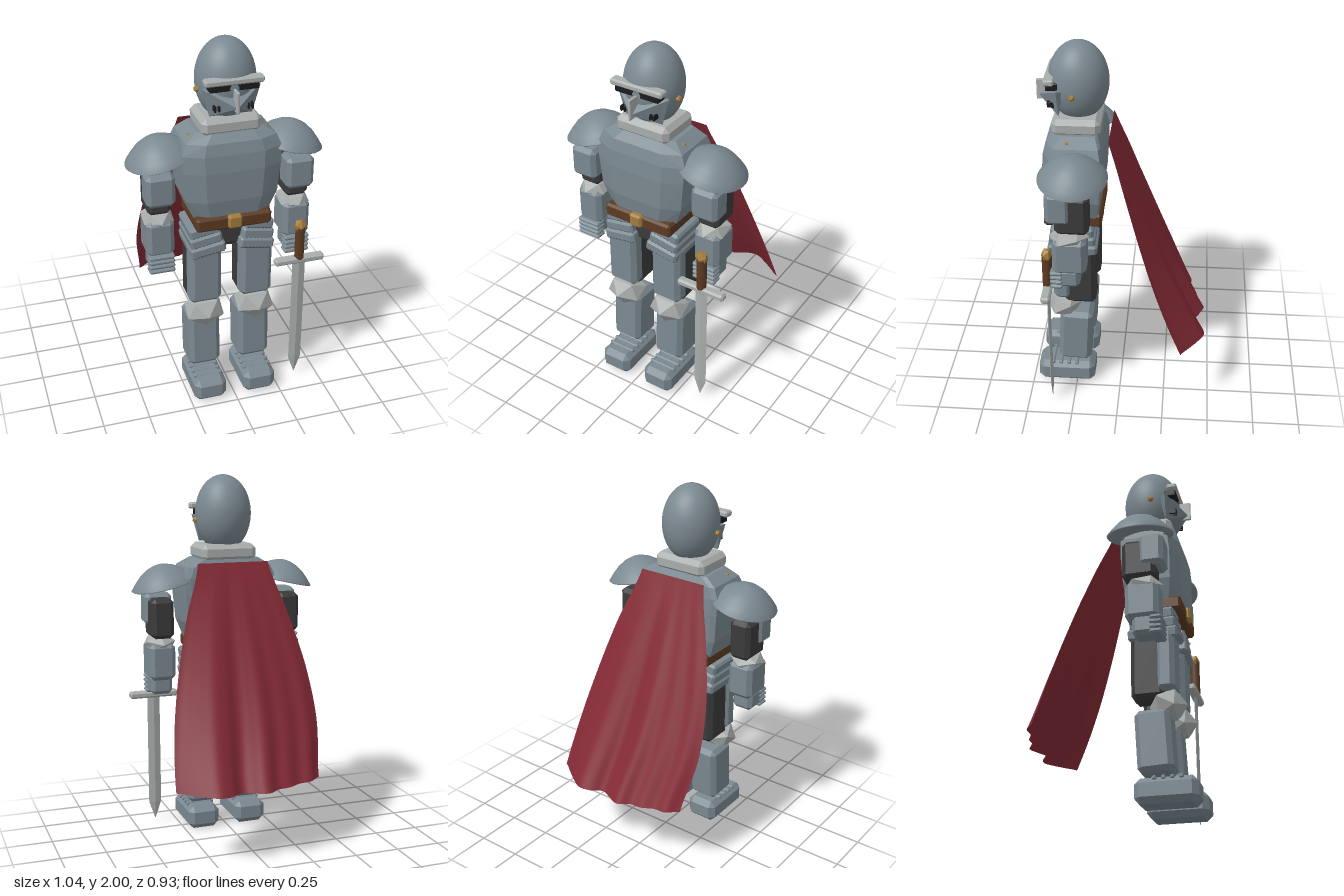
import * as THREE from 'three';
import { ConvexGeometry } from 'three/addons/geometries/ConvexGeometry.js';

const V = (x, y, z) => new THREE.Vector3(x, y, z);

// Box with 45 degree chamfers of size c on every edge
function chamferBox(w, h, d, c) {
  const pts = [];
  for (const x of [-1, 1]) for (const y of [-1, 1]) for (const z of [-1, 1]) {
    pts.push(V(x * w / 2, y * (h / 2 - c), z * (d / 2 - c)));
    pts.push(V(x * (w / 2 - c), y * h / 2, z * (d / 2 - c)));
    pts.push(V(x * (w / 2 - c), y * (h / 2 - c), z * d / 2));
  }
  return new ConvexGeometry(pts);
}

export function createModel() {
  const mat = (name, color, extra = {}) => {
    const m = new THREE.MeshStandardMaterial({ color, ...extra });
    m.name = name;
    return m;
  };
  const steel = mat('steel', 0x7b8991, { side: THREE.DoubleSide });
  const bright = mat('brightSteel', 0xa9aeac);
  const dark = mat('darkCloth', 0x3b3b3b);
  const black = mat('black', 0x1b1b1d);
  const red = mat('capeRed', 0x842a35, { side: THREE.DoubleSide });
  const leather = mat('leather', 0x5c3b22);
  const gold = mat('brass', 0xa37c3c);

  const model = new THREE.Group();
  model.name = 'knight';

  const add = (name, geo, material, x = 0, y = 0, z = 0, parent = model) => {
    const m = new THREE.Mesh(geo, material);
    m.name = name;
    m.position.set(x, y, z);
    parent.add(m);
    return m;
  };
  // Chamfered box given by its extents
  const block = (name, material, [x0, x1], [y0, y1], [z0, z1], c = 0.02, parent = model) =>
    add(name, chamferBox(x1 - x0, y1 - y0, z1 - z0, c), material,
      (x0 + x1) / 2, (y0 + y1) / 2, (z0 + z1) / 2, parent);
  // Faceted ball with one corner pointing forward
  const facetBall = (name, material, x, y, z, rx, ry, rz, parent = model) => {
    const g = new THREE.IcosahedronGeometry(1, 0);
    g.rotateX(Math.atan(2 / (1 + Math.sqrt(5))));
    g.scale(rx, ry, rz);
    return add(name, g, material, x, y, z, parent);
  };

  // Helmet
  const dome = add('helmet', new THREE.SphereGeometry(1, 40, 28), steel, 0, 1.79, 0.225);
  dome.scale.set(0.153, 0.21, 0.157);
  block('brow', bright, [-0.15, 0.15], [1.81, 1.843], [0.335, 0.39], 0.008);
  block('eyeSlit', black, [-0.125, 0.125], [1.778, 1.815], [0.32, 0.38], 0.003);
  const tip = V(0, 1.705, 0.43);
  add('visor', new ConvexGeometry([
    V(-0.15, 1.782, 0.325), V(0.15, 1.782, 0.325), V(-0.11, 1.635, 0.32), V(0.11, 1.635, 0.32),
    V(-0.13, 1.775, 0.29), V(0.13, 1.775, 0.29), tip]), steel);
  block('visorRidge', bright, [-0.007, 0.007], [1.68, 1.79], [0.37, 0.442], 0.003);
  for (const s of [-1, 1]) {
    for (const x of [0.075, 0.095])
      block('breathSlot', black, [s * x - 0.005, s * x + 0.005], [1.675, 1.705], [0.34, 0.378], 0.002);
    facetBall('helmetRivet', gold, s * 0.152, 1.755, 0.245, 0.018, 0.018, 0.018);
    facetBall('chestRivet', gold, s * 0.2, 1.525, 0.272, 0.014, 0.014, 0.014);
  }
  block('collar', bright, [-0.155, 0.155], [1.535, 1.628], [0.105, 0.355], 0.025);

  // Breastplate: rows of y, half width, back z, front z
  const rows = [
    [1.08, 0.195, 0.12, 0.385], [1.2, 0.24, 0.1, 0.405], [1.36, 0.255, 0.09, 0.408],
    [1.45, 0.26, 0.09, 0.4], [1.51, 0.235, 0.1, 0.385], [1.552, 0.17, 0.12, 0.345]];
  const chest = [];
  for (const [y, w, b, f] of rows) for (const s of [-1, 1])
    chest.push(V(s * w, y, b + 0.01), V(s * (w - 0.03), y, b), V(s * w, y, f - 0.045), V(s * w * 0.6, y, f));
  add('breastplate', new ConvexGeometry(chest), steel);

  // Belt
  block('belt', leather, [-0.2, 0.2], [1.035, 1.11], [0.1, 0.405], 0.012);
  block('buckle', gold, [-0.036, 0.036], [1.045, 1.117], [0.385, 0.425], 0.01);
  block('pelvis', dark, [-0.16, 0.16], [0.9, 1.05], [0.15, 0.34], 0.02);

  // Paired armour, built for the left side and mirrored by position
  const domeProfile = [[0, 0.112], [0.035, 0.107], [0.075, 0.092], [0.115, 0.066], [0.15, 0.032],
    [0.178, 0], [0.172, -0.006], [0.14, 0.025]].map(([r, y]) => new THREE.Vector2(r, y));
  for (const s of [-1, 1]) {
    const arm = new THREE.Group();
    arm.name = s > 0 ? 'leftArm' : 'rightArm';
    arm.position.x = s * 0.368;
    model.add(arm);

    const pad = add('pauldron', new THREE.LatheGeometry(domeProfile, 40), steel, -s * 0.024, 1.412, 0.228, arm);
    pad.rotation.z = -s * 0.22;
    block('upperArm', dark, [-0.062, 0.062], [1.12, 1.34], [0.145, 0.32], 0.022, arm);
    block('upperArmPlate', steel, [-0.075, 0.075], [1.185, 1.362], [0.235, 0.365], 0.022, arm);
    facetBall('elbowGuard', bright, 0, 1.085, 0.25, 0.092, 0.056, 0.105, arm);
    block('forearm', steel, [-0.073, 0.073], [0.885, 1.09], [0.16, 0.335], 0.024, arm);
    block('gauntlet', steel, [-0.06, 0.06], [0.8, 0.91], [0.195, 0.33], 0.02, arm);
    for (let i = 0; i < 4; i++)
      block('finger', steel, [-0.068, 0.068], [0.797 + i * 0.026, 0.82 + i * 0.026], [0.285, 0.35], 0.008, arm);

    const leg = new THREE.Group();
    leg.name = s > 0 ? 'leftLeg' : 'rightLeg';
    leg.position.x = s * 0.14;
    model.add(leg);

    // Overlapping hip plates
    const hip = new THREE.Group();
    hip.name = 'hipPlates';
    hip.position.y = 0.965;
    hip.rotation.z = s * -0.17;
    leg.add(hip);
    for (let i = 0; i < 3; i++) {
      const w = 0.078 + i * 0.008;
      block('hipPlate', steel, [-w, w], [0.02 - i * 0.053, 0.083 - i * 0.053],
        [0.142 - i * 0.009, 0.37 + i * 0.009], 0.012, hip);
      for (let k = -3; k <= 3; k++)
        block('hipRivet', dark, [k * 0.02 - 0.004, k * 0.02 + 0.004], [0.032 - i * 0.053, 0.036 - i * 0.053],
          [0.365 + i * 0.009, 0.372 + i * 0.009], 0.001, hip);
    }

    block('thigh', dark, [-0.072, 0.072], [0.545, 0.89], [0.135, 0.31], 0.024, leg);
    block('thighPlate', steel, [-0.087, 0.087], [0.58, 0.93], [0.27, 0.367], 0.024, leg);
    facetBall('kneeGuard', bright, 0, 0.515, 0.318, 0.115, 0.09, 0.1, leg);
    const shin = block('shin', steel, [-0.087, 0.087], [0.158, 0.482], [0.16, 0.342], 0.025, leg);
    shin.rotation.x = -0.05;
    block('foot', steel, [-0.09, 0.09], [0, 0.13], [0.148, 0.468], 0.03, leg);
    for (let i = 0; i < 4; i++)
      block('footStrap', steel, [-0.08, 0.08], [0.115, 0.137], [0.24 + i * 0.045, 0.262 + i * 0.045], 0.006, leg);
  }

  // Sword held point down on the left side
  const sword = new THREE.Group();
  sword.name = 'sword';
  sword.position.set(0.374, 0, 0.37);
  model.add(sword);
  const blade = [];
  for (const y of [0.12, 0.76])
    blade.push(V(-0.036, y, 0), V(0.036, y, 0), V(0, y, 0.009), V(0, y, -0.009));
  blade.push(V(0, 0.015, 0));
  add('blade', new ConvexGeometry(blade), bright, 0, 0, 0, sword);
  block('crossguard', bright, [-0.138, 0.138], [0.748, 0.786], [-0.025, 0.023], 0.01, sword);
  add('grip', new THREE.CylinderGeometry(0.027, 0.027, 0.19, 8), leather, 0, 0.87, 0, sword);
  const pommel = facetBall('pommel', gold, 0, 0.968, 0, 0.036, 0.042, 0.03, sword);
  pommel.rotation.z = Math.PI;

  // Cape: side edges widen downward, the hem follows a wavy line
  const curve = (list) => new THREE.SplineCurve(list.map(([x, y]) => new THREE.Vector2(x, y)));
  const leftEdge = curve([[-0.2, 0], [-0.285, 0], [-0.355, 0], [-0.38, 0], [-0.345, 0]]);
  const rightEdge = curve([[0.2, 0], [0.295, 0], [0.37, 0], [0.425, 0], [0.453, 0]]);
  const hem = curve([[0, -0.34], [0, -0.388], [0, -0.39], [0, -0.42], [0, -0.425], [0, -0.463],
    [0, -0.44], [0, -0.415], [0, -0.455], [0, -0.465], [0, -0.43], [0, -0.385], [0, -0.34]]);
  const cape = new THREE.PlaneGeometry(1, 1, 60, 30);
  const p = cape.attributes.position, uv = cape.attributes.uv;
  for (let i = 0; i < p.count; i++) {
    const u = uv.getX(i), t = 1 - uv.getY(i);
    const x = THREE.MathUtils.lerp(leftEdge.getPoint(t).x, rightEdge.getPoint(t).x, u);
    const fold = hem.getPoint(u).y + 0.34;
    p.setXYZ(i, x, 1.535 - 1.125 * t - 0.015 * t * Math.sin(u * Math.PI),
      0.06 - 0.4 * t + 0.03 * Math.sin(t * Math.PI) * t + fold * Math.pow(t, 1.15));
  }
  cape.computeVertexNormals();
  add('cape', cape, red);

  return model;
}
